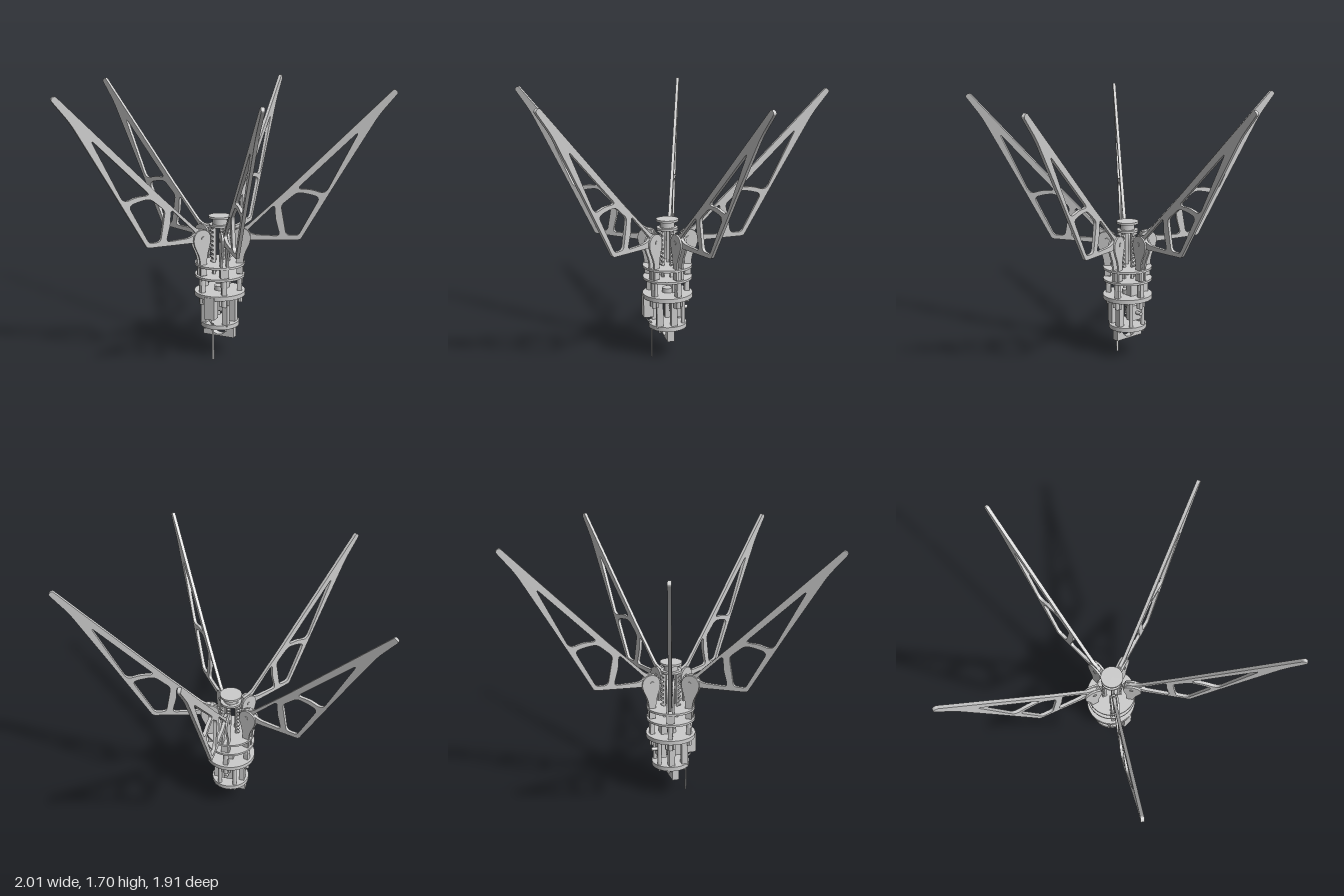
import * as THREE from 'three';

const AXIS_Z = 0.095; // the gripper axis sits slightly forward of the origin
const material = new THREE.MeshStandardMaterial({ color: 0xcccccc });

function add(parent, name, geometry, x = 0, y = 0, z = 0) {
  const mesh = new THREE.Mesh(geometry, material);
  mesh.name = name;
  mesh.position.set(x, y, z);
  parent.add(mesh);
  return mesh;
}
const box = (w, h, d) => new THREE.BoxGeometry(w, h, d);
const rod = (r, h, n = 20) => new THREE.CylinderGeometry(r, r, h, n);

// Closed polygon whose corners [x, y, radius] are rounded
function rounded(points, path) {
  const n = points.length;
  points.forEach(([x, y, radius], i) => {
    const corner = new THREE.Vector2(x, y);
    const toward = (p) => {
      const d = new THREE.Vector2(p[0] - x, p[1] - y);
      return corner.clone().add(d.setLength(Math.min(radius, d.length() * 0.48)));
    };
    const a = toward(points[(i + n - 1) % n]);
    const b = toward(points[(i + 1) % n]);
    if (i === 0) path.moveTo(a.x, a.y);
    else path.lineTo(a.x, a.y);
    path.quadraticCurveTo(x, y, b.x, b.y);
  });
  path.closePath();
  return path;
}

// Plate of given thickness, centred on its own plane
function plate(shape, thickness, curveSegments = 6) {
  const g = new THREE.ExtrudeGeometry(shape, { depth: thickness, bevelEnabled: false, curveSegments });
  return g.translate(0, 0, -thickness / 2);
}

// Finger: long trusslike plate with three windows
function fingerGeometry() {
  const shape = rounded([
    [0.10, 0.75, 0.03], [0.19, 0.76, 0.03], [0.5, 0.77, 0.015], [0.73, 1.17, 0.02], [0.95, 1.545, 0.05],
    [1.058, 1.678, 0.014], [1.032, 1.7, 0.014], [0.80, 1.468, 0.05],
    [0.40, 1.068, 0.02], [0.165, 0.845, 0.03], [0.09, 0.83, 0.03],
  ], new THREE.Shape());
  const windows = [
    [[0.838, 1.448, 0.04], [0.472, 1.088, 0.035], [0.56, 1.087, 0.03], [0.645, 1.06, 0.04]],
    [[0.378, 0.985, 0.025], [0.475, 1.068, 0.03], [0.54, 1.06, 0.03], [0.615, 1.04, 0.035],
      [0.486, 0.796, 0.02], [0.412, 0.796, 0.025]],
    [[0.34, 0.99, 0.03], [0.165, 0.815, 0.03], [0.22, 0.794, 0.02], [0.375, 0.79, 0.03], [0.345, 0.9, 0.02]],
  ];
  windows.forEach((w) => shape.holes.push(rounded(w, new THREE.Path())));
  return plate(shape, 0.02);
}

// Cheek: teardrop plate carrying the finger pivot
function cheekGeometry() {
  const s = new THREE.Shape();
  s.moveTo(0.105, 0.61);
  s.lineTo(0.15, 0.61);
  s.bezierCurveTo(0.15, 0.70, 0.19, 0.71, 0.194, 0.775);
  s.bezierCurveTo(0.194, 0.86, 0.075, 0.86, 0.078, 0.775);
  s.bezierCurveTo(0.08, 0.72, 0.107, 0.70, 0.105, 0.61);
  return plate(s, 0.012, 10);
}

function gearGeometry(radius, teeth, thickness) {
  const s = new THREE.Shape();
  for (let i = 0; i < teeth * 4; i++) {
    const r = i % 4 < 2 ? radius : radius * 0.8;
    const a = (i / (teeth * 4)) * Math.PI * 2;
    s[i ? 'lineTo' : 'moveTo'](r * Math.cos(a), r * Math.sin(a));
  }
  return plate(s, thickness);
}

function rackGeometry() {
  const s = new THREE.Shape();
  s.moveTo(0.037, 0.86);
  s.lineTo(0.037, 0.53);
  s.lineTo(0.05, 0.53);
  for (let i = 0; i < 9; i++) {
    const y = 0.59 + i * 0.028;
    s.lineTo(0.05, y);
    s.lineTo(0.066, y + 0.006);
    s.lineTo(0.066, y + 0.012);
    s.lineTo(0.05, y + 0.018);
  }
  s.lineTo(0.05, 0.86);
  return plate(s, 0.018);
}

export function createModel() {
  const model = new THREE.Group();
  model.name = 'fiveFingerGripper';
  const body = new THREE.Group();
  body.name = 'body';
  body.position.z = AXIS_Z;
  model.add(body);

  // Five finger stations around the axis
  const finger = fingerGeometry();
  const cheek = cheekGeometry();
  const gear = gearGeometry(0.05, 14, 0.022);
  const rack = rackGeometry();
  for (let i = 0; i < 5; i++) {
    const station = new THREE.Group();
    station.name = 'fingerStation';
    station.rotation.y = Math.PI / 2 + (i * Math.PI * 2) / 5;
    body.add(station);
    add(station, 'finger', finger);
    add(station, 'pivotGear', gear, 0.118, 0.785, 0);
    add(station, 'rack', rack);
    add(station, 'pivotPin', rod(0.012, 0.058, 14), 0.13, 0.785, 0).rotation.x = Math.PI / 2;
    for (const side of [-1, 1]) {
      add(station, 'cheek', cheek, 0, 0, side * 0.019);
      add(station, 'cheekFoot', box(0.04, 0.06, 0.014), 0.128, 0.575, side * 0.019);
      add(station, 'footBolt', rod(0.008, 0.045, 10), 0.128, 0.385, side * 0.025);
    }
    add(station, 'guidePost', box(0.03, 0.2, 0.03), 0.125, 0.51, 0);
    add(station, 'postCollar', rod(0.02, 0.04), 0.125, 0.5, 0);
    add(station, 'lowerStud', rod(0.015, 0.06, 16), 0.128, 0.385, 0);
  }

  // Stacked plates: [name, radius, thickness, height]
  [
    ['topCap', 0.07, 0.014, 0.903], ['capNeck', 0.045, 0.04, 0.875], ['rackHead', 0.067, 0.014, 0.85],
    ['upperPlate', 0.157, 0.014, 0.608], ['middlePlate', 0.157, 0.014, 0.533],
    ['mainPlate', 0.16, 0.027, 0.418], ['basePlate', 0.122, 0.028, 0.217],
  ].forEach(([name, r, t, y]) => add(body, name, rod(r, t, 48), 0, y, 0));
  add(body, 'centreBoss', rod(0.035, 0.03), 0, 0.445, 0);

  // Lower frame posts with bolts under the base
  for (const x of [-1, 1]) {
    for (const z of [0.07, -0.02]) {
      const px = x * (z > 0 ? 0.072 : 0.085);
      add(body, 'framePost', box(0.036, 0.19, 0.04), px, 0.317, z);
      add(body, 'baseBolt', rod(0.008, 0.02, 10), px, 0.195, z);
    }
    add(body, 'rearPost', rod(0.013, 0.19, 16), x * 0.05, 0.317, -0.09);
    add(body, 'rearBolt', rod(0.008, 0.02, 10), x * 0.05, 0.195, -0.09);
  }

  // Mounting tongue with a half-round opening
  const tongue = new THREE.Shape();
  tongue.moveTo(-0.105, 0.13);
  tongue.lineTo(0.105, 0.13);
  tongue.lineTo(0.105, 0.205);
  tongue.lineTo(0.06, 0.205);
  tongue.absarc(0, 0.2, 0.06, 0, -Math.PI, true);
  tongue.lineTo(-0.06, 0.205);
  tongue.lineTo(-0.105, 0.205);
  add(body, 'mountingTongue', plate(tongue, 0.045, 20), 0, 0, 0.004);

  // Drive: rear motor with gear, and front control housing
  add(body, 'motor', box(0.09, 0.1, 0.05), 0, 0.32, -0.065);
  add(body, 'driveWheel', gearGeometry(0.05, 18, 0.014), 0, 0.32, -0.03);
  add(body, 'motorShaft', rod(0.012, 0.1, 14), 0, 0.32, -0.08).rotation.x = Math.PI / 2;
  add(body, 'driveBlock', box(0.07, 0.1, 0.05), 0, 0.48, -0.048);
  add(body, 'controlHousing', box(0.066, 0.142, 0.064), 0, 0.351, 0.131);

  // Flat cable leaving the housing and running down to the ground
  const cable = new THREE.CatmullRomCurve3([
    [0.29, 0.135], [0.255, 0.135], [0.235, 0.11], [0.2, 0.106], [0.1, 0.106], [0, 0.106],
  ].map(([y, z]) => new THREE.Vector3(0, y, z)));
  add(body, 'cable', new THREE.TubeGeometry(cable, 40, 0.005, 8)).scale.x = 1.7;
  return model;
}
